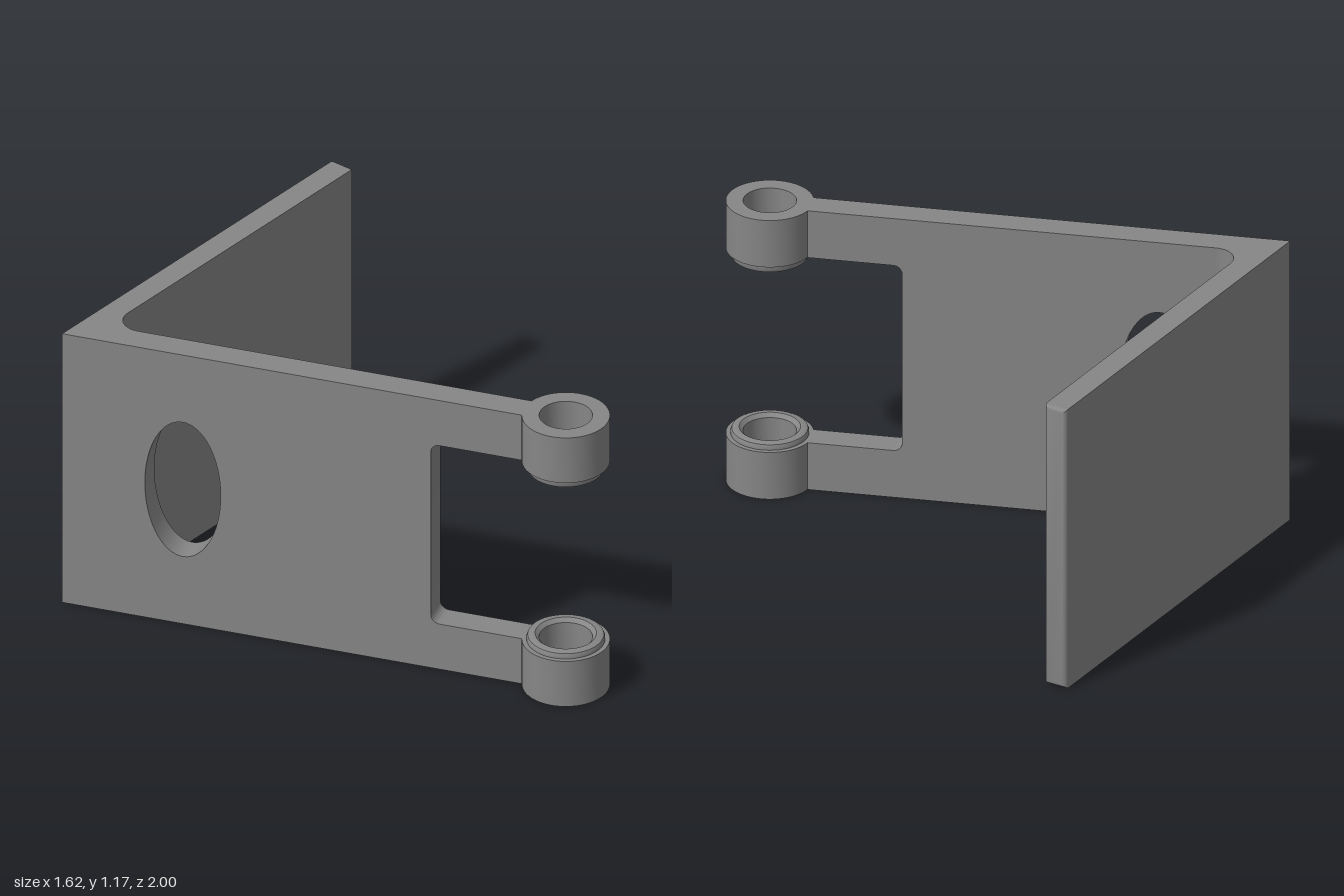
import * as THREE from 'three';
import { toCreasedNormals } from 'three/addons/utils/BufferGeometryUtils.js';

const H = 1.173;                          // overall height
const BACK = -1, PLATE = 0.097;           // rear plane and plate thickness
const CORNER_X = -0.81, END_X = 0.808;
const ARM_T = 0.11;                       // arm thickness
const TILT = THREE.MathUtils.degToRad(70); // angle between plate and arm
const ROUND = 0.02;

const material = new THREE.MeshStandardMaterial({ color: 0x868686, side: THREE.DoubleSide });

function part(name, geometry) {
  const mesh = new THREE.Mesh(toCreasedNormals(geometry, 0.5), material);
  mesh.name = name;
  return mesh;
}

// Point in plan (x, -z): s runs along the arm, t goes from outer to inner face
function armPoint(s, t) {
  return [
    CORNER_X + s * Math.cos(TILT) + t * Math.sin(TILT),
    -(BACK + s * Math.sin(TILT) - t * Math.cos(TILT)),
  ];
}

// Back plate with the sharp outer corner and the filleted inner corner
function plateAndCorner(armStart) {
  const front = -(BACK + PLATE), r = 0.083;
  const innerX = CORNER_X + ARM_T / Math.sin(TILT) + PLATE / Math.tan(TILT);
  const centreX = innerX + r / Math.tan(TILT / 2);
  const shape = new THREE.Shape();
  shape.moveTo(CORNER_X, -BACK);
  shape.lineTo(...armPoint(armStart, 0));
  shape.lineTo(...armPoint(armStart, ARM_T));
  shape.absarc(centreX, front - r, r, Math.PI * 1.5 - TILT, Math.PI / 2, true);
  shape.lineTo(END_X - ROUND, front);
  shape.lineTo(END_X - ROUND, -BACK);
  shape.closePath();
  const geo = new THREE.ExtrudeGeometry(shape, { depth: H, bevelEnabled: false, curveSegments: 16 });
  return part('backPlate', geo.rotateX(-Math.PI / 2));
}

// Rounded free end of the plate
function plateEnd() {
  const shape = new THREE.Shape();
  shape.moveTo(0, 0);
  shape.lineTo(PLATE, 0);
  shape.lineTo(PLATE, H);
  shape.lineTo(0, H);
  shape.closePath();
  const geo = new THREE.ExtrudeGeometry(shape, {
    depth: 0.001, bevelThickness: ROUND, bevelSize: ROUND, bevelOffset: -ROUND, bevelSegments: 5,
  });
  const mesh = part('plateEnd', geo.rotateY(Math.PI / 2));
  mesh.position.set(END_X - ROUND - 0.001, 0, BACK + PLATE);
  return mesh;
}

// Slanted arm: oval window and a rounded notch leaving two fingers
function arm(start, end) {
  const notch = 1.457, low = 0.197, high = 0.976, r = 0.035;
  const shape = new THREE.Shape();
  shape.moveTo(start, 0);
  shape.lineTo(end, 0);
  shape.lineTo(end, low);
  shape.lineTo(notch + r, low);
  shape.absarc(notch + r, low + r, r, Math.PI * 1.5, Math.PI, true);
  shape.lineTo(notch, high - r);
  shape.absarc(notch + r, high - r, r, Math.PI, Math.PI / 2, true);
  shape.lineTo(end, high);
  shape.lineTo(end, H);
  shape.lineTo(start, H);
  shape.closePath();
  const windowHole = new THREE.Path();
  windowHole.absellipse(0.477, H / 2, 0.15, 0.293, 0, Math.PI * 2, true);
  shape.holes.push(windowHole);
  const geo = new THREE.ExtrudeGeometry(shape, { depth: ARM_T, bevelEnabled: false, curveSegments: 32 });
  const mesh = part('arm', geo.translate(0, 0, -ARM_T));
  mesh.rotation.y = -TILT;
  mesh.position.set(CORNER_X, 0, BACK);
  return mesh;
}

// Hinge knuckle: ring with a stepped, rounded lip
function knuckle(name, body, lip) {
  const R = 0.165, lipR = 0.147, bore = 0.1, e = 0.015, top = body + lip;
  const profile = [
    [bore, 0], [R, 0], [R, body], [lipR, body], [lipR, top - e],
    [lipR - e * 0.3, top - e * 0.3], [lipR - e, top],
    [bore + e, top], [bore, top - e], [bore, 0],
  ].map(([x, y]) => new THREE.Vector2(x, y));
  const mesh = part(name, new THREE.LatheGeometry(profile, 64));
  mesh.position.set(-0.085, 0, 0.835);
  return mesh;
}

export function createModel() {
  const group = new THREE.Group();
  group.name = 'hingedBracket';
  const armStart = 0.26;
  const upper = knuckle('upperKnuckle', 0.197, 0.036);
  upper.rotation.x = Math.PI;
  upper.position.y = H;
  group.add(
    plateAndCorner(armStart),
    plateEnd(),
    arm(armStart, 1.84),
    knuckle('lowerKnuckle', 0.197, 0.025),
    upper,
  );
  return group;
}
